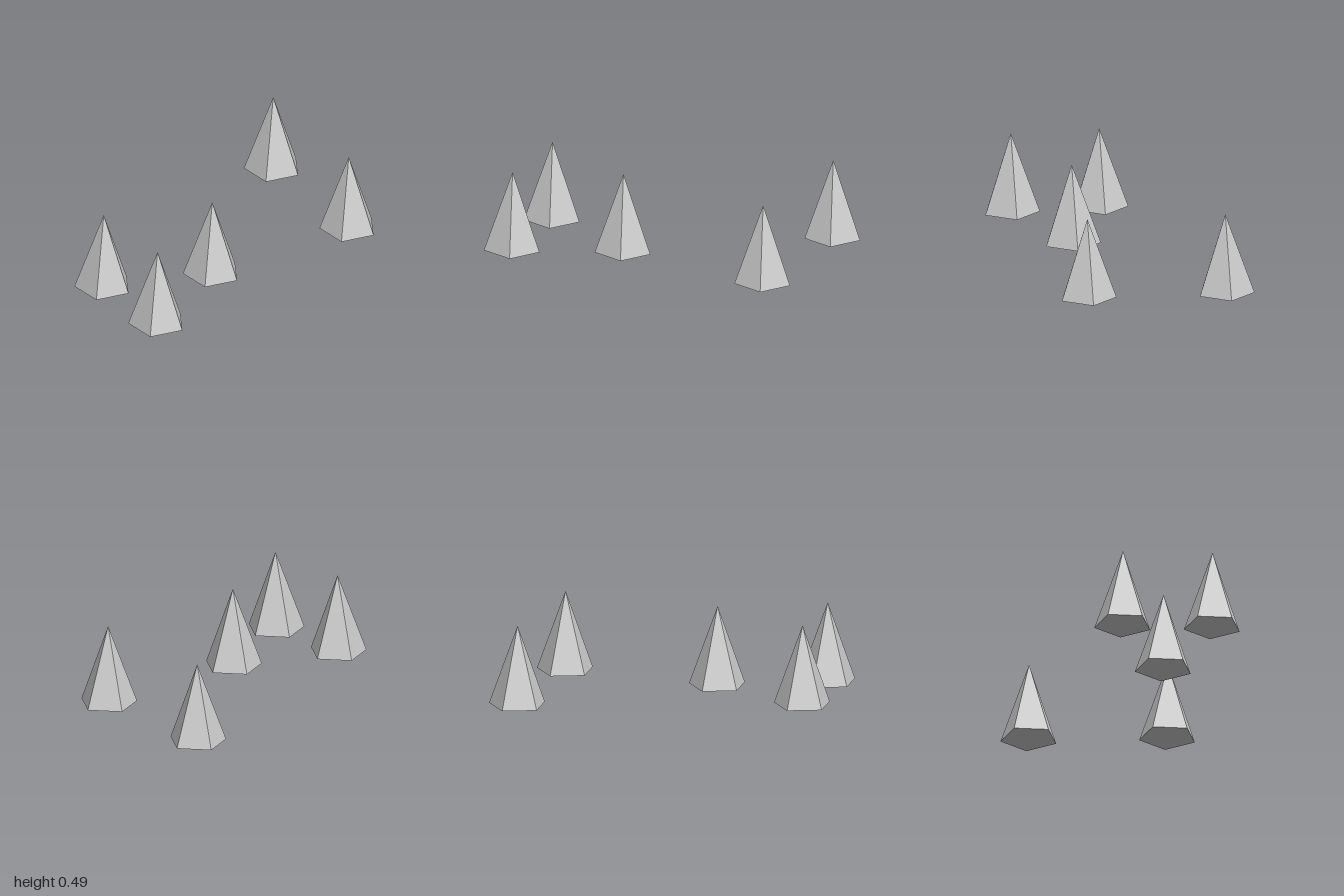
import * as THREE from 'three';

const RADIUS = 0.176;
const HEIGHT = 0.49;

// Ground positions [x, z] of the spikes
const SPOTS = [
  [-0.474, -0.824],
  [0.351, -0.729],
  [0.236, 0.236],
  [-0.063, 0.832],
  [0.473, 0.857],
];

export function createModel() {
  const group = new THREE.Group();
  group.name = 'spikeCluster';
  const material = new THREE.MeshStandardMaterial({ color: 0xcccccc, flatShading: true });

  // Five-sided closed pyramid, one corner pointing to the back, base on the ground
  const geometry = new THREE.ConeGeometry(RADIUS, HEIGHT, 5, 1, false, Math.PI);
  geometry.translate(0, HEIGHT / 2, 0);

  SPOTS.forEach(([x, z], i) => {
    const spike = new THREE.Mesh(geometry, material);
    spike.name = `spike${i + 1}`;
    spike.position.set(x, 0, z);
    group.add(spike);
  });
  return group;
}
